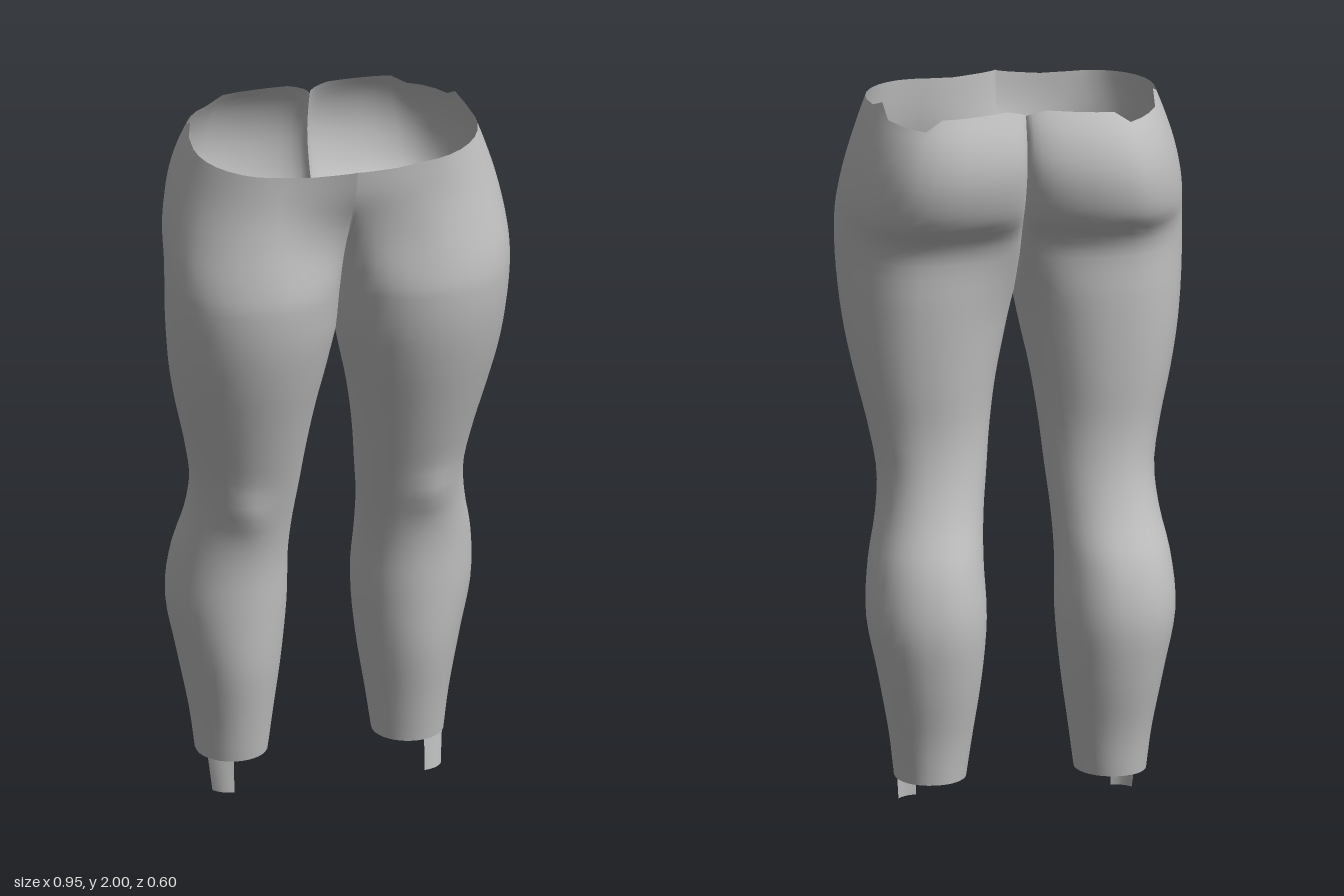
import * as THREE from 'three';
import { mergeVertices } from 'three/addons/utils/BufferGeometryUtils.js';

// y, inner x, outer x, front z, back z
const OUTLINE = [
  [0.09, 0.15, 0.347, 0.0, -0.215],
  [0.2, 0.135, 0.36, 0.02, -0.23],
  [0.38, 0.11, 0.393, 0.052, -0.272],
  [0.55, 0.096, 0.425, 0.06, -0.295],
  [0.7, 0.1, 0.415, 0.066, -0.268],
  [0.82, 0.094, 0.39, 0.09, -0.212],
  [0.93, 0.082, 0.381, 0.122, -0.178],
  [1.05, 0.07, 0.4, 0.165, -0.165],
  [1.2, 0.048, 0.435, 0.217, -0.174],
  [1.32, 0.022, 0.458, 0.256, -0.181],
  [1.45, 0, 0.472, 0.288, -0.186],
  [1.58, 0, 0.477, 0.3, -0.19],
  [1.63, 0, 0.476, 0.295, -0.212],
  [1.68, 0, 0.473, 0.287, -0.262],
  [1.75, 0, 0.464, 0.274, -0.292],
  [1.84, 0, 0.444, 0.262, -0.3],
  [1.93, 0, 0.415, 0.26, -0.275],
  [2.0, 0, 0.388, 0.262, -0.23],
];

// y, centre x, z of widest point, front seam z, back seam z, flatness of the belly panel
const SECTION = [
  [0.09, 0.25, -0.1, -0.1, -0.1, 0],
  [0.5, 0.255, -0.115, -0.115, -0.115, 0],
  [0.9, 0.24, -0.03, -0.03, -0.03, 0],
  [1.2, 0.24, 0.02, 0.02, 0.02, 0],
  [1.4, 0.24, 0.07, 0.04, 0.02, 0],
  [1.56, 0.24, 0.1, 0.09, -0.1, 0],
  [1.64, 0.235, 0.1, 0.13, -0.14, 0.1],
  [1.75, 0.225, 0.07, 0.205, -0.2, 0.5],
  [1.86, 0.21, 0.05, 0.265, -0.225, 0.9],
  [2.0, 0.19, 0.05, 0.3, -0.195, 1],
];

const Q = 8;            // segments per quarter of a cross-section
const N = Q * 4;
const CROTCH = 1.56, HEM = 0.09;

const smooth = (table) => {
  const f = new THREE.CubicInterpolant(
    table.map((r) => r[0]), table.flatMap((r) => r.slice(1)), table[0].length - 1);
  return (y) => Array.from(f.evaluate(y));
};
const outline = smooth(OUTLINE), section = smooth(SECTION);

// Point i of the cross-section: front seam, front, outside, back, back seam
function point(y, i) {
  let [xi, xo, zf, zb] = outline(y);
  const [cx, zm, sf, sb, flat] = section(y);
  xi = y > 1.44 ? 0 : Math.max(0, xi);
  const quarter = Math.min(3, Math.floor(i / Q));
  const a = ((i - quarter * Q) / Q) * Math.PI / 2;
  const c = Math.cos(a), s = Math.sin(a);
  let x, z;
  if (quarter === 0) {
    x = cx - (cx - xi) * c;
    z = sf + (zf - sf) * THREE.MathUtils.lerp(s, 1 - c, THREE.MathUtils.clamp(flat, 0, 1));
  } else if (quarter === 1) {
    x = cx + (xo - cx) * s;
    z = zm + (zf - zm) * c;
  } else if (quarter === 2) {
    x = cx + (xo - cx) * c ** 0.9;
    z = zm + (zb - zm) * s ** 0.9;
  } else {
    x = cx - (cx - xi) * s;
    z = sb + (zb - sb) * c;
  }
  // kneecap
  if (z > 0) z += 0.018 * Math.exp(-(((x - 0.26) / 0.06) ** 2) - ((y - 0.88) / 0.06) ** 2);
  return [x, y, z];
}

// Uneven waist edge, with one tooth at the side
const WAIST = [[0, 1.965], [6, 1.955], [12, 1.968], [16, 1.975], [17, 1.98], [18, 2],
  [19, 1.967], [22, 1.96], [23, 1.99], [28, 2], [32, 1.98]];
function waist(i) {
  const k = Math.max(1, WAIST.findIndex((w) => w[0] >= i));
  const [i0, y0] = WAIST[k - 1], [i1, y1] = WAIST[k];
  return y0 + (y1 - y0) * (i - i0) / (i1 - i0);
}

// Skin one or more grids of points, mirrored when side is -1
function skin(grids, side) {
  const pos = [], index = [];
  for (const { rows, closed } of grids) {
    const base = pos.length / 3, n = rows[0].length;
    rows.forEach((row) => row.forEach(([x, y, z]) => pos.push(x * side, y, z)));
    for (let r = 0; r < rows.length - 1; r++) {
      for (let i = 0; i < (closed ? n : n - 1); i++) {
        const j = (i + 1) % n;
        const a = base + r * n + i, b = base + r * n + j, c = b + n, d = a + n;
        if (side > 0) index.push(a, b, c, a, c, d);
        else index.push(a, c, b, a, d, c);
      }
    }
  }
  let geo = new THREE.BufferGeometry();
  geo.setAttribute('position', new THREE.Float32BufferAttribute(pos, 3));
  geo.setIndex(index);
  geo = mergeVertices(geo, 1e-5);
  geo.computeVertexNormals();
  // keep the belly smooth across the middle
  const p = geo.attributes.position, nm = geo.attributes.normal, v = new THREE.Vector3();
  for (let i = 0; i < p.count; i++) {
    if (Math.abs(p.getX(i)) < 1e-4 && p.getZ(i) > 0.17) {
      v.fromBufferAttribute(nm, i).setX(0).normalize();
      nm.setXYZ(i, v.x, v.y, v.z);
    }
  }
  return geo;
}

export function createModel() {
  const model = new THREE.Group();
  model.name = 'leggings';
  const fabric = new THREE.MeshStandardMaterial({ color: 0xc0c0c0, side: THREE.DoubleSide });
  fabric.name = 'grey fabric';

  const ring = (height) => Array.from({ length: N + 1 }, (_, i) => point(height(i), i));
  const lower = [], upper = [];
  for (let r = 0; r <= 36; r++) lower.push(ring(() => HEM + (CROTCH - HEM) * r / 36));
  for (let r = 0; r <= 18; r++) upper.push(ring((i) => CROTCH + (waist(i) - CROTCH) * r / 18));

  // small tab hanging from the hem at the outer front
  const tabTop = [9, 10, 11, 12, 13].map((i) => point(HEM, i));
  const tabBottom = tabTop.map(([x, , z], k) => [x - 0.002 * k, 0, z + 0.006 + 0.003 * k]);

  for (const side of [1, -1]) {
    const half = new THREE.Group();
    half.name = side > 0 ? 'leftHalf' : 'rightHalf';
    const leg = new THREE.Mesh(
      skin([{ rows: lower, closed: true }, { rows: upper, closed: false }], side), fabric);
    leg.name = 'legAndHip';
    const tab = new THREE.Mesh(skin([{ rows: [tabBottom, tabTop], closed: false }], side), fabric);
    tab.name = 'ankleTab';
    half.add(leg, tab);
    model.add(half);
  }
  return model;
}
